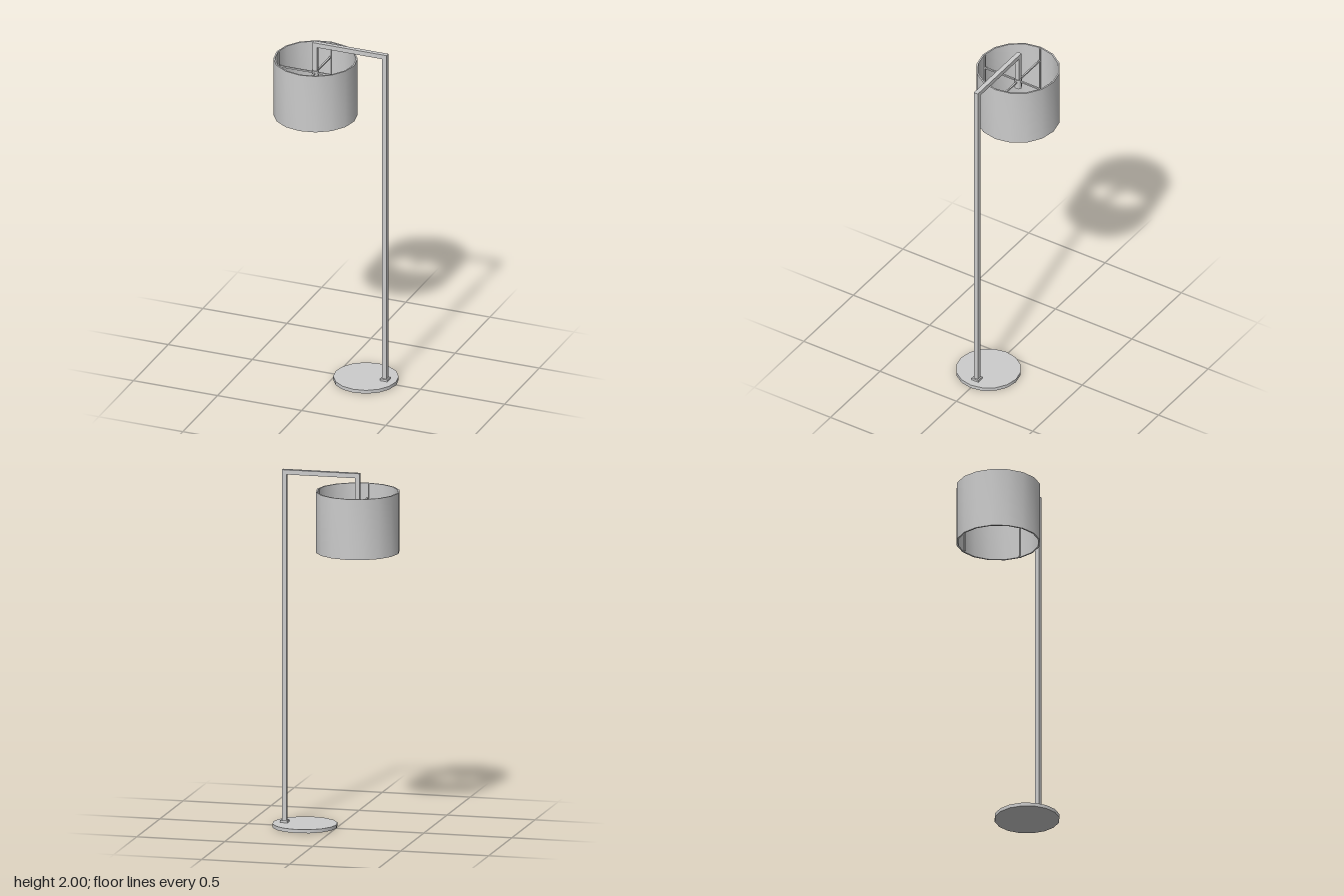
import * as THREE from 'three';
import { toCreasedNormals } from 'three/addons/utils/BufferGeometryUtils.js';

export function createModel() {
  const lamp = new THREE.Group();
  lamp.name = 'floorLamp';
  const grey = new THREE.MeshStandardMaterial({ color: 0xcccccc });
  grey.name = 'light grey';

  const add = (name, geometry, x, y, z, parent = lamp) => {
    const mesh = new THREE.Mesh(geometry, grey);
    mesh.name = name;
    mesh.position.set(x, y, z);
    parent.add(mesh);
    return mesh;
  };
  const box = (w, h, d) => new THREE.BoxGeometry(w, h, d);

  // Round foot and the square collar that holds the pole
  const tube = 0.026, poleX = 0.291, dropX = -0.124;
  add('base', new THREE.CylinderGeometry(0.18, 0.18, 0.02, 16), 0.176, 0.01, 0);
  add('poleCollar', box(0.043, 0.012, 0.043), poleX, 0.026, 0);

  // Square-section pole, arm and drop rod
  add('pole', box(tube, 1.954, tube), poleX, 0.997, 0);
  add('arm', box(poleX - dropX + tube, tube, tube), (poleX + dropX) / 2, 1.987, 0);
  add('dropRod', box(tube, 0.154, tube), dropX, 1.897, 0);

  // Hollow drum shade, open at the top and bottom
  const shade = new THREE.Group();
  shade.name = 'shadeAssembly';
  shade.position.x = dropX;
  lamp.add(shade);
  const bottom = 1.56, top = 1.9, outer = 0.232, inner = 0.223;
  const profile = [[outer, bottom], [outer, top], [inner, top], [inner, bottom], [outer, bottom]]
    .map(([r, y]) => new THREE.Vector2(r, y));
  add('shade', toCreasedNormals(new THREE.LatheGeometry(profile, 16), 0.6), 0, 0, 0, shade);

  // Socket and the wire frame that carries the shade
  add('socket', new THREE.CylinderGeometry(0.02, 0.02, 0.06, 8), 0, 1.8, 0, shade);
  for (let i = 0; i < 4; i++) {
    const side = new THREE.Group();
    side.name = 'frameSide';
    side.rotation.y = i * Math.PI / 2;
    shade.add(side);
    add('spoke', box(0.21, 0.009, 0.009), 0.119, 1.815, 0, side);
    add('strut', box(0.008, top - bottom - 0.01, 0.009), 0.219, (top + bottom) / 2, 0, side);
  }
  return lamp;
}
